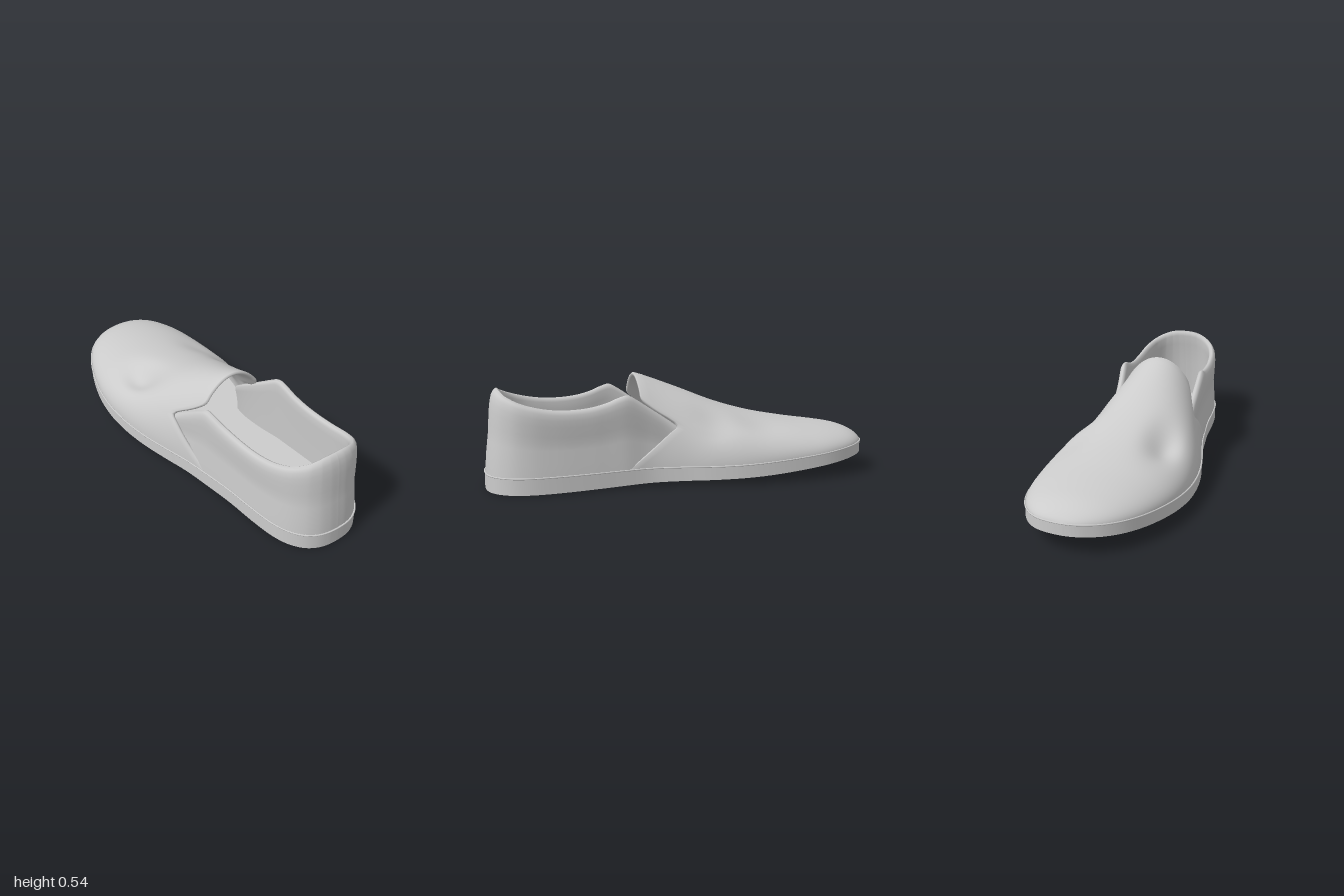
import * as THREE from 'three';
import { toCreasedNormals } from 'three/addons/utils/BufferGeometryUtils.js';

// Smooth interpolation through [x, y] pairs
function profile(p) {
  const slope = i => {
    const a = p[Math.max(i - 1, 0)], b = p[Math.min(i + 1, p.length - 1)];
    return (b[1] - a[1]) / (b[0] - a[0]);
  };
  return x => {
    if (x <= p[0][0]) return p[0][1];
    if (x >= p[p.length - 1][0]) return p[p.length - 1][1];
    let i = 0;
    while (p[i + 1][0] < x) i++;
    const d = p[i + 1][0] - p[i][0], s = (x - p[i][0]) / d, s2 = s * s, s3 = s2 * s;
    return (2 * s3 - 3 * s2 + 1) * p[i][1] + (s3 - 2 * s2 + s) * d * slope(i)
      + (3 * s2 - 2 * s3) * p[i + 1][1] + (s3 - s2) * d * slope(i + 1);
  };
}

// Footprint: x, z of the back edge, z of the front edge
const footprint = new THREE.CatmullRomCurve3([
  [-0.997, -0.05, -0.05], [-0.992, -0.1, 0], [-0.975, -0.165, 0.055], [-0.94, -0.22, 0.12],
  [-0.88, -0.27, 0.185], [-0.8, -0.31, 0.24], [-0.7, -0.34, 0.287], [-0.55, -0.358, 0.335],
  [-0.4, -0.362, 0.358], [-0.25, -0.35, 0.358], [-0.1, -0.316, 0.34], [0.05, -0.268, 0.307],
  [0.2, -0.237, 0.27], [0.35, -0.241, 0.246], [0.5, -0.252, 0.226], [0.68, -0.259, 0.213],
  [0.8, -0.252, 0.197], [0.88, -0.229, 0.17], [0.94, -0.186, 0.127], [0.975, -0.134, 0.075],
  [0.99, -0.08, 0.02], [0.993, -0.03, -0.03],
].map(r => new THREE.Vector3(...r)), false, 'centripetal');

function footprintAt(x) {
  let a = 0, b = 1;
  for (let i = 0; i < 24; i++) {
    const m = (a + b) / 2;
    if (footprint.getPoint(m).x < x) a = m; else b = m;
  }
  return footprint.getPoint(a);
}

const soleBottom = profile([[-1, 0.1], [-0.6, 0.06], [-0.3, 0.037], [0.2, 0.017], [0.6, 0.006], [1, 0]]);
const soleTop = profile([[-1, 0.16], [-0.6, 0.125], [-0.2, 0.1], [0.3, 0.09], [1, 0.083]]);

// Outline run along the front edge to the heel and back along the other edge
function outline(n, from = -2) {
  const front = [], back = [];
  for (let i = 0; i <= n; i++) {
    const p = footprint.getPoint(i / n);
    if (p.x < from) continue;
    front.push(new THREE.Vector3(p.x, 0, p.z));
    if (i > 0 && i < n) back.unshift(new THREE.Vector3(p.x, 0, p.y));
  }
  return front.concat(back);
}

// Skin a grid of points given as rows
function skin(rows, crease = 0) {
  const n = rows[0].length, index = [];
  for (let i = 0; i < rows.length - 1; i++)
    for (let j = 0; j < n - 1; j++) {
      const a = i * n + j, b = a + n;
      index.push(a, a + 1, b, b, a + 1, b + 1);
    }
  const g = new THREE.BufferGeometry().setFromPoints(rows.flat());
  g.setIndex(index);
  if (crease) return toCreasedNormals(g.toNonIndexed(), crease);
  g.computeVertexNormals();
  return g;
}

const material = new THREE.MeshStandardMaterial({ color: 0xcccccc, roughness: 0.8, side: THREE.DoubleSide });

// Sole: strips across the foot, wrapped from bottom to sidewall to top
function sole() {
  const rows = [];
  for (let i = 0; i <= 140; i++) {
    const p = footprint.getPoint(i / 140), lo = soleBottom(p.x), hi = soleTop(p.x);
    rows.push([[p.z, lo], [p.z, hi], [p.y, hi], [p.y, lo], [p.z, lo]]
      .map(([z, y]) => new THREE.Vector3(p.x, y, z)));
  }
  return skin(rows, 0.7);
}

// Vamp: half-elliptical arches whose rear edge is cut to a tongue and side notch
const crest = profile([[-1, 0.153], [-0.985, 0.176], [-0.95, 0.203], [-0.89, 0.228], [-0.8, 0.246], [-0.6, 0.276],
  [-0.4, 0.316], [-0.2, 0.376], [0, 0.456], [0.2, 0.532], [0.23, 0.54]]);
const rearEdge = profile([[0, 0.32], [0.2, 0.2], [0.45, 0.095], [0.58, 0.06], [0.73, 0.165],
  [0.84, 0.218], [1, 0.225], [1.58, 0.226]]);

// Soft flex creases: x, z, length, width, depth
const creases = [[-0.31, 0.21, 0.13, 0.075, 0.07], [-0.36, -0.23, 0.14, 0.08, 0.02], [-0.1, -0.25, 0.1, 0.08, 0.05]];

function vampPoint(u, angle, inset) {
  const x = THREE.MathUtils.lerp(-0.996, rearEdge(Math.min(angle, Math.PI - angle)), u * u);
  const p = footprintAt(x), base = soleTop(x) - 0.008;
  const half = Math.max((p.z - p.y) / 2 * 0.99 - inset, 0), mid = (p.z + p.y) / 2;
  const rise = Math.max(crest(x) - base - inset, 0);
  const z = mid + half * Math.cos(angle);
  let dent = 0;
  for (const [cx, cz, length, width, depth] of creases)
    dent += depth * Math.exp(-(((x - cx) / length) ** 2) - ((z - cz) / width) ** 2);
  return new THREE.Vector3(x, base + (rise - dent) * Math.sin(angle), z);
}

function vamp() {
  const rows = [], stations = [];
  for (let i = 0; i <= 60; i++) stations.push([i / 60, 0]);
  stations.push([1.003, 0.006], [1.003, 0.014], [1, 0.02]);
  for (let i = 1; i <= 20; i++) stations.push([1 - i / 30, 0.022]);
  for (const [u, inset] of stations) {
    const row = [];
    for (let j = 0; j <= 72; j++) row.push(vampPoint(u, Math.PI * j / 72, inset));
    rows.push(row);
  }
  return skin(rows);
}

// Quarter: padded wall around the heel, tucked under the vamp at its ends
const collar = profile([[0.02, 0.24], [0.1, 0.305], [0.2, 0.382], [0.27, 0.432], [0.315, 0.456], [0.36, 0.447],
  [0.42, 0.425], [0.5, 0.407], [0.6, 0.4], [0.7, 0.406], [0.8, 0.426], [0.88, 0.45], [0.94, 0.471],
  [0.975, 0.484], [0.993, 0.491]]);
const tuck = profile([[0.02, 0.052], [0.1, 0.041], [0.2, 0.017], [0.32, 0], [0.45, 0], [1, 0.002]]);
const wall = [[0, 0.002], [0.2, 0.005], [0.4, 0.01], [0.5, 0.011], [0.6, 0.008], [0.75, 0.004], [0.85, 0.002],
  [0.93, 0.004], [0.975, 0.011], [1, 0.022], [0.98, 0.034], [0.93, 0.04], [0.8, 0.04], [0.5, 0.034], [0, 0.03]];

function quarter() {
  const path = outline(240, 0.03);
  const rows = path.map((p, i) => {
    const t = path[Math.min(i + 1, path.length - 1)].clone().sub(path[Math.max(i - 1, 0)]).normalize();
    const out = new THREE.Vector3(-t.z, 0, t.x);
    if (out.dot(new THREE.Vector3(p.x - 0.5, 0, p.z + 0.02)) < 0) out.negate();
    const base = soleTop(p.x) - 0.008, height = collar(p.x) - base;
    const lean = 0.003 + 0.042 * Math.max(out.x, 0) ** 1.5;
    return wall.map(([f, inset]) => p.clone()
      .addScaledVector(out, -(tuck(p.x) + inset + lean * f * f))
      .setY(base + height * f));
  });
  return skin(rows);
}

// Insole: flat floor inside the wall
function insole() {
  const rows = [];
  for (let i = 0; i <= 40; i++) {
    const x = -0.6 + 1.54 * i / 40, p = footprintAt(x), y = soleTop(x) + 0.005;
    rows.push([p.z - 0.02, p.y + 0.02].map(z => new THREE.Vector3(x, y, z)));
  }
  return skin(rows);
}

// Welt: thin bead where upper meets sole
function welt() {
  const path = outline(60).map(p => p.setY(soleTop(p.x) - 0.002));
  return new THREE.TubeGeometry(new THREE.CatmullRomCurve3(path, true), 240, 0.004, 8, true);
}

export function createModel() {
  const shoe = new THREE.Group();
  shoe.name = 'slipOnShoe';
  for (const [name, build] of Object.entries({ sole, welt, insole, vamp, quarter })) {
    const mesh = new THREE.Mesh(build(), material);
    mesh.name = name;
    shoe.add(mesh);
  }
  return shoe;
}
